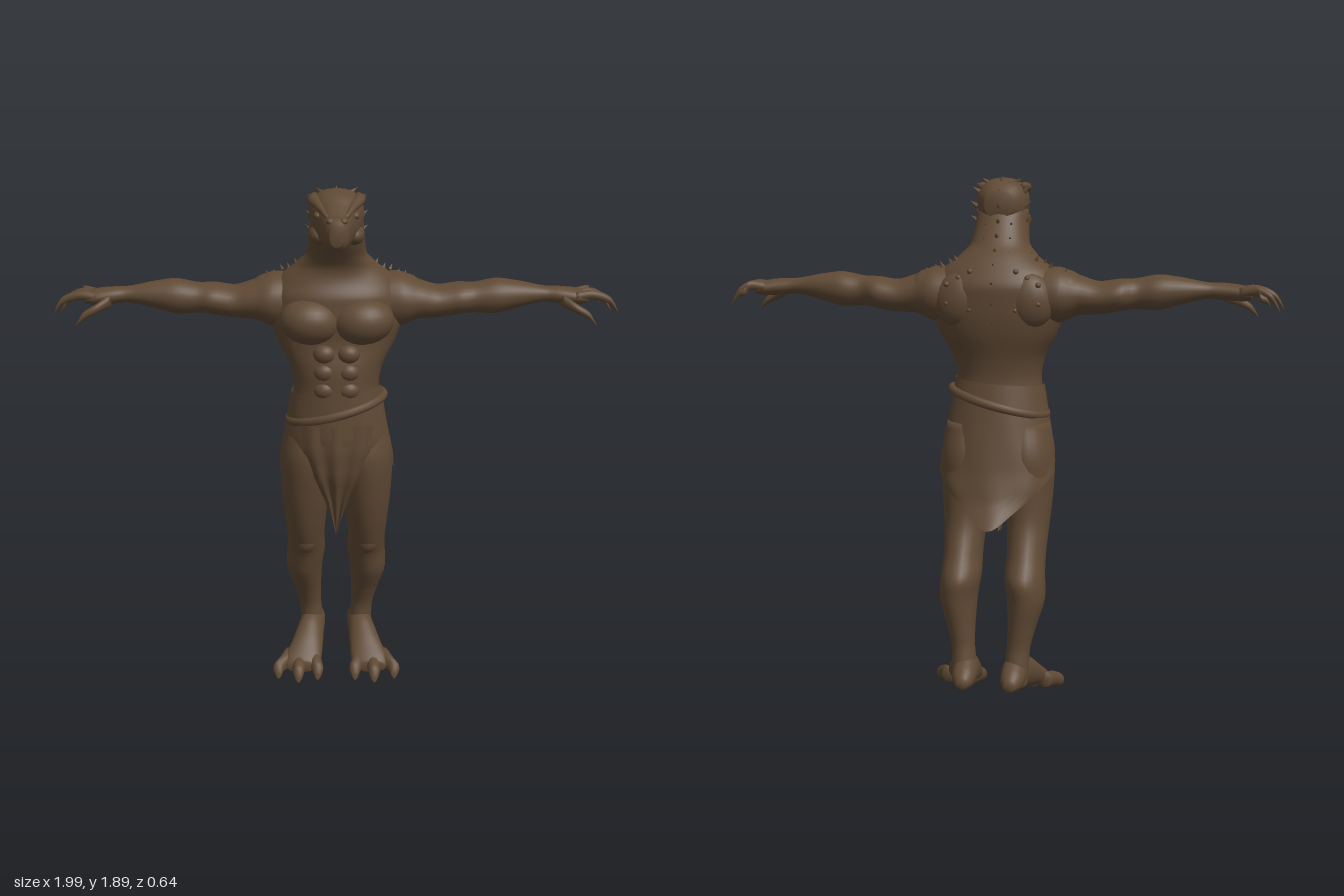
import * as THREE from 'three';

const hide = new THREE.MeshStandardMaterial({ color: 0x5f4934, side: THREE.DoubleSide });
hide.name = 'brown hide';

const X = new THREE.Vector3(1, 0, 0), Y = new THREE.Vector3(0, 1, 0), Z = new THREE.Vector3(0, 0, 1);
const FRAMES = { x: [Y, Z], y: [Z, X], z: [X, Y] };

// Grid of points as a smooth surface; wrapped rings get closed ends.
function surface(rows, cols, wrap, pointAt) {
  const pos = [], idx = [];
  for (let i = 0; i <= rows; i++)
    for (let j = 0; j < cols; j++) pos.push(...pointAt(i / rows, j / (wrap ? cols : cols - 1)));
  for (let i = 0; i < rows; i++)
    for (let j = 0; j < (wrap ? cols : cols - 1); j++) {
      const k = (j + 1) % cols, a = i * cols + j, b = i * cols + k;
      idx.push(a, b, b + cols, a, b + cols, a + cols);
    }
  const g = new THREE.BufferGeometry();
  g.setAttribute('position', new THREE.Float32BufferAttribute(pos, 3));
  g.setIndex(idx);
  g.computeVertexNormals();
  return g;
}

// Loft along +axis through sections [x, y, z, radiusU, radiusV].
function loft(axis, sections, { sides = 28, steps = 5, power = 1 } = {}) {
  const [U, V] = FRAMES[axis];
  const path = new THREE.CatmullRomCurve3(sections.map(s => new THREE.Vector3(s[0], s[1], s[2])));
  const size = new THREE.CatmullRomCurve3(sections.map(s => new THREE.Vector3(s[3], s[4], 0)));
  const rows = (sections.length - 1) * steps + 2;
  const bend = v => Math.sign(v) * Math.abs(v) ** power;
  return surface(rows, sides, true, (t, u) => {
    const i = Math.round(t * rows);
    const k = Math.min(1, Math.max(0, (i - 1) / (rows - 2)));
    const c = path.getPoint(k), r = size.getPoint(k), a = u * Math.PI * 2;
    const s = i === 0 || i === rows ? 0.001 : 1;
    return c.addScaledVector(U, bend(Math.cos(a)) * r.x * s)
      .addScaledVector(V, bend(Math.sin(a)) * r.y * s).toArray();
  });
}

function blob(x, y, z, rx, ry, rz, tilt = 0) {
  return new THREE.SphereGeometry(1, 24, 16).scale(rx, ry, rz).rotateZ(tilt).translate(x, y, z);
}

function spike(x, y, z, size, dx, dy, dz) {
  const q = new THREE.Quaternion().setFromUnitVectors(Y, new THREE.Vector3(dx, dy, dz).normalize());
  return new THREE.ConeGeometry(size * 0.6, size * 1.7, 7).applyQuaternion(q).translate(x, y, z);
}

function mirrored(g) {
  const m = g.clone().scale(-1, 1, 1), a = m.index.array;
  for (let i = 0; i < a.length; i += 3) [a[i], a[i + 1]] = [a[i + 1], a[i]];
  return m;
}

// Piecewise linear lookup in [key, value] pairs with falling keys.
function lookup(pairs, k) {
  for (let i = 1; i < pairs.length; i++)
    if (k >= pairs[i][0] || i === pairs.length - 1) {
      const [a, b] = [pairs[i - 1], pairs[i]];
      return THREE.MathUtils.mapLinear(k, a[0], b[0], a[1], b[1]);
    }
}

export function createModel() {
  const model = new THREE.Group();
  model.name = 'reptileWarrior';
  const add = (name, g) => {
    const m = new THREE.Mesh(g, hide);
    m.name = name;
    model.add(m);
  };
  const pair = (name, g) => { add(name + 'Left', g); add(name + 'Right', mirrored(g)); };

  // Trunk and leaning neck
  add('torso', loft('y', [
    [0, 0.88, -0.03, 0.1, 0.14], [0, 1.0, -0.01, 0.125, 0.165], [0, 1.1, 0, 0.13, 0.16],
    [0, 1.18, 0.003, 0.128, 0.152], [0, 1.25, -0.003, 0.133, 0.165], [0, 1.34, -0.025, 0.14, 0.212],
    [0, 1.42, -0.03, 0.15, 0.235], [0, 1.5, -0.035, 0.15, 0.232], [0, 1.56, -0.035, 0.125, 0.2],
    [0, 1.605, -0.02, 0.108, 0.145], [0, 1.65, 0.015, 0.1, 0.105], [0, 1.71, 0.055, 0.1, 0.097],
    [0, 1.77, 0.075, 0.085, 0.092],
  ], { sides: 40, power: 0.92 }));
  pair('pectoral', blob(0.092, 1.42, 0.075, 0.108, 0.082, 0.09, 0.08));
  pair('shoulderBlade', blob(0.12, 1.46, -0.12, 0.09, 0.1, 0.06, 0.3));
  for (let i = 0; i < 3; i++) pair('abdominal' + i, blob(0.042, 1.31 - i * 0.065, 0.105, 0.04, 0.034, 0.034));

  // Head with blunt snout, brows and jaw
  add('head', loft('z', [
    [0, 1.785, -0.02, 0.05, 0.045], [0, 1.79, 0.03, 0.085, 0.078], [0, 1.795, 0.09, 0.094, 0.085],
    [0, 1.783, 0.15, 0.08, 0.087], [0, 1.763, 0.2, 0.058, 0.076], [0, 1.752, 0.25, 0.047, 0.06],
    [0, 1.755, 0.295, 0.041, 0.055], [0, 1.757, 0.322, 0.022, 0.035],
  ], { power: 0.85 }));
  pair('brow', loft('z', [[0.075, 1.85, 0.05, 0.012, 0.012], [0.075, 1.845, 0.12, 0.022, 0.018],
    [0.052, 1.825, 0.19, 0.012, 0.012], [0.032, 1.805, 0.24, 0.006, 0.006]], { sides: 12 }));
  pair('eye', blob(0.063, 1.8, 0.17, 0.014, 0.013, 0.018));
  pair('nostril', blob(0.022, 1.8, 0.29, 0.014, 0.012, 0.018));
  pair('jaw', blob(0.06, 1.73, 0.12, 0.035, 0.035, 0.06));

  // Arms
  pair('arm', loft('x', [
    [0.13, 1.47, -0.045, 0.1, 0.1], [0.22, 1.475, -0.045, 0.098, 0.11], [0.29, 1.475, -0.04, 0.07, 0.09],
    [0.36, 1.467, -0.045, 0.058, 0.08], [0.43, 1.477, -0.045, 0.057, 0.082], [0.49, 1.482, -0.035, 0.054, 0.062],
    [0.56, 1.487, -0.035, 0.062, 0.068], [0.64, 1.493, -0.033, 0.048, 0.056], [0.74, 1.495, -0.028, 0.028, 0.035],
    [0.79, 1.492, -0.025, 0.03, 0.042], [0.85, 1.487, -0.028, 0.028, 0.05], [0.885, 1.482, -0.035, 0.018, 0.046],
  ]));
  pair('deltoid', blob(0.235, 1.49, -0.045, 0.09, 0.075, 0.095, -0.3));

  // Clawed fingers: [root z, tip x, tip y, tip z]
  [[0.005, 0.995, 1.43, 0], [-0.03, 0.98, 1.425, -0.055], [-0.06, 0.945, 1.445, -0.105]].forEach(([z, tx, ty, tz], i) =>
    pair('finger' + i, loft('x', [[0.84, 1.49, z, 0.018, 0.018],
      [0.9, 1.497, z * 0.5 + tz * 0.5, 0.017, 0.015], [tx - 0.035, 1.478, tz, 0.014, 0.012],
      [tx - 0.012, ty + 0.022, tz, 0.01, 0.008], [tx, ty, tz, 0.002, 0.002]], { sides: 12 })));
  pair('thumb', loft('x', [[0.79, 1.48, 0, 0.024, 0.022], [0.84, 1.455, 0.035, 0.017, 0.018],
    [0.885, 1.43, 0.045, 0.014, 0.012], [0.91, 1.4, 0.05, 0.002, 0.002]], { sides: 12 }));

  // Legs with heavy thighs and rear-set calves
  pair('leg', loft('y', [
    [0.093, 0.09, -0.21, 0.05, 0.042], [0.095, 0.15, -0.207, 0.054, 0.044], [0.1, 0.22, -0.2, 0.05, 0.042],
    [0.11, 0.3, -0.186, 0.067, 0.051], [0.122, 0.4, -0.163, 0.102, 0.068], [0.115, 0.48, -0.148, 0.118, 0.072],
    [0.115, 0.55, -0.105, 0.113, 0.07], [0.115, 0.65, -0.06, 0.11, 0.077], [0.112, 0.76, -0.038, 0.12, 0.09],
    [0.106, 0.9, -0.028, 0.136, 0.1], [0.1, 1.02, -0.02, 0.11, 0.085],
  ]));
  pair('kneecap', blob(0.115, 0.56, -0.04, 0.045, 0.06, 0.05));

  // Tilted feet with three spread toes
  pair('foot', loft('z', [
    [0.085, 0.118, -0.318, 0.02, 0.018], [0.087, 0.127, -0.28, 0.04, 0.042], [0.09, 0.137, -0.22, 0.047, 0.062],
    [0.1, 0.122, -0.15, 0.052, 0.066], [0.115, 0.088, -0.08, 0.062, 0.053], [0.13, 0.055, -0.025, 0.07, 0.036],
    [0.135, 0.04, 0.005, 0.055, 0.022],
  ]));
  [[0.09, 0.072, 0.04], [0.137, 0.145, 0.062], [0.18, 0.222, 0.03]].forEach(([x, tx, tz], i) =>
    pair('toe' + i, loft('z', [[x, 0.06, -0.07, 0.025, 0.03], [x * 0.5 + tx * 0.5, 0.048, -0.02, 0.026, 0.03],
      [tx, 0.036, tz - 0.025, 0.022, 0.026], [tx, 0.018, tz - 0.005, 0.012, 0.014], [tx, 0.006, tz, 0.003, 0.004]],
    { sides: 12 })));

  // Wrapped skirt, short in front and pointed behind
  const front = [[1.17, 0.135], [1.0, 0.138], [0.85, 0.118], [0.6, 0.08]];
  const back = [[1.17, -0.132], [1.0, -0.165], [0.85, -0.195], [0.75, -0.225], [0.67, -0.283]];
  const width = [[1.17, 0.16], [1.05, 0.18], [0.9, 0.207], [0.8, 0.212], [0.75, 0.19], [0.67, 0.13]];
  add('skirt', surface(20, 72, true, (t, u) => {
    const a = u * Math.PI * 2, c = Math.cos(a), s = Math.sin(a);
    const hem = c > 0 ? 0.84 + 0.14 * c : 0.84 - 0.17 * Math.abs(c) ** 2.5;
    const y = hem + (1.165 + 0.012 * s - hem) * t;
    const zf = lookup(front, y), zb = lookup(back, y);
    const fold = 1 + 0.012 * Math.sin(a * 9 + y * 14) * (1 - t);
    return [s * lookup(width, y) * fold, y, (zf + zb) / 2 + c * (zf - zb) / 2 * fold];
  }));

  // Sash across the waist
  const sash = Array.from({ length: 24 }, (_, i) => {
    const a = i / 24 * Math.PI * 2, s = Math.sin(a), c = Math.cos(a);
    return new THREE.Vector3(s * 0.17, 1.09 + s * 0.045, -0.008 + c * 0.142);
  });
  add('sash', new THREE.TubeGeometry(new THREE.CatmullRomCurve3(sash, true), 72, 0.016, 8, true));

  // Front cloth hanging to a point, with pleats
  const flapWidth = [[1.05, 0.13], [0.95, 0.12], [0.85, 0.09], [0.75, 0.045], [0.6, 0.003]];
  const flapDepth = [[1.05, 0.137], [0.95, 0.138], [0.85, 0.122], [0.75, 0.085], [0.6, 0.028]];
  add('frontCloth', surface(18, 25, false, (t, u) => {
    const y = 0.6 + 0.45 * t, v = u * 2 - 1;
    return [v * lookup(flapWidth, y), y,
      lookup(flapDepth, y) - v * v * 0.03 + Math.cos(v * 9) * 0.011 * (1 - t * 0.6)];
  }));

  // Spines down crown, neck and back: [y, z, size]
  [[1.875, 0.09, 0.016], [1.868, 0.04, 0.02], [1.83, -0.005, 0.022], [1.78, -0.02, 0.02], [1.73, -0.04, 0.02],
    [1.68, -0.07, 0.02], [1.63, -0.105, 0.02], [1.58, -0.14, 0.02], [1.52, -0.178, 0.018], [1.45, -0.182, 0.015],
    [1.38, -0.172, 0.013]].forEach(([y, z, s], i) => {
    const up = y > 1.85 ? 2 : 0.6;
    add('spine' + i, spike(0, y, z, s, 0, up, -1));
    pair('sideSpine' + i, spike(0.045, y - 0.012, z + 0.012, s * 0.85, 0.3, up, -1));
  });
  // Horns around the brow and cheeks
  [[0.088, 1.855, 0.1], [0.092, 1.84, 0.04], [0.098, 1.79, 0.03], [0.098, 1.74, 0.03], [0.06, 1.87, 0.06]]
    .forEach(([x, y, z], i) => pair('horn' + i, spike(x, y, z, 0.017, 1, 0.8, -0.4)));
  // Scales over the shoulders and upper back
  for (let i = 0; i < 7; i++) {
    const x = 0.12 + i * 0.025;
    pair('shoulderScale' + i, spike(x, 1.615 - i * 0.011, -0.05 - (i % 2) * 0.03, 0.014, 0.4, 1, -0.4));
    pair('backScale' + i, blob(0.08 + (i % 3) * 0.04, 1.56 - i * 0.022, -0.15 - (i > 1 ? 0.015 : 0), 0.01, 0.01, 0.012));
  }
  return model;
}
